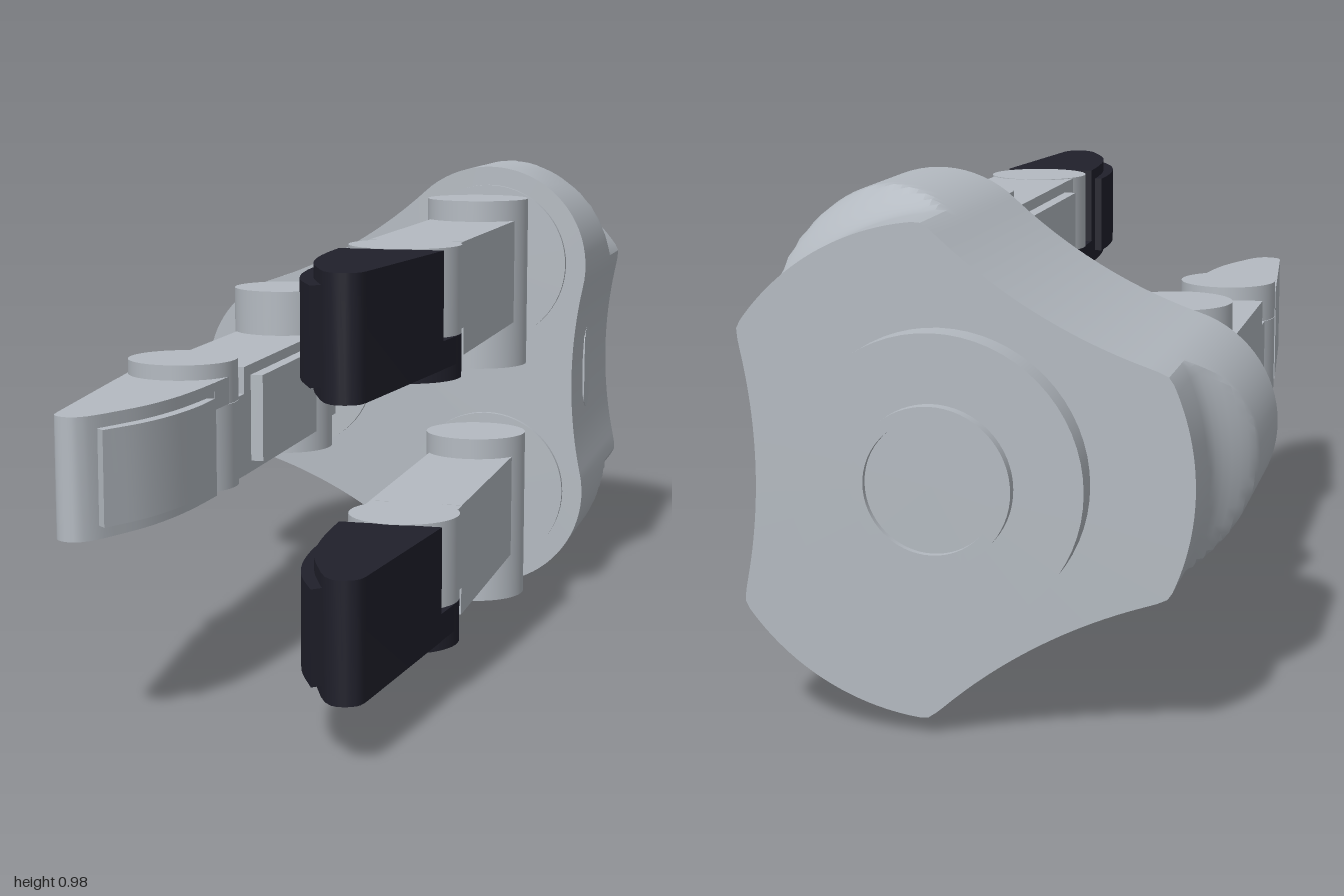
import * as THREE from 'three';
import { toCreasedNormals } from 'three/addons/utils/BufferGeometryUtils.js';

const grey = new THREE.MeshStandardMaterial({ color: 0xb4bac1 });
grey.name = 'light grey metal';
const dark = new THREE.MeshStandardMaterial({ color: 0x20202b });
dark.name = 'dark rubber';

// Centre of the three-lobed palm
const CX = 0.076, CY = 0.49;

function add(parent, name, geometry, material, x = 0, y = 0, z = 0) {
  const mesh = new THREE.Mesh(geometry, material);
  mesh.name = name;
  mesh.position.set(x, y, z);
  parent.add(mesh);
  return mesh;
}

// Box given by its limits
function block(parent, name, material, [x0, x1], [y0, y1], [z0, z1]) {
  return add(parent, name, new THREE.BoxGeometry(x1 - x0, y1 - y0, z1 - z0), material,
    (x0 + x1) / 2, (y0 + y1) / 2, (z0 + z1) / 2);
}

// Upright pin between two heights
function pin(parent, name, material, r, y0, y1, z) {
  return add(parent, name, new THREE.CylinderGeometry(r, r, y1 - y0, 48), material, 0, (y0 + y1) / 2, z);
}

// Disc facing along z
function disc(parent, name, r, x, y, z0, z1) {
  const g = new THREE.CylinderGeometry(r, r, z1 - z0, 64).rotateX(Math.PI / 2);
  return add(parent, name, g, grey, x, y, (z0 + z1) / 2);
}

// Upright prism from an outline of [x, z] points
function prism(parent, name, material, points, y0, y1) {
  const shape = new THREE.Shape(points.map(([x, z]) => new THREE.Vector2(x, -z)));
  const g = new THREE.ExtrudeGeometry(shape, { depth: y1 - y0, bevelEnabled: false }).rotateX(-Math.PI / 2);
  return add(parent, name, toCreasedNormals(g, 0.5), material, 0, y0, 0);
}

function curve(points, n) {
  const spline = new THREE.CatmullRomCurve3(points.map(([x, z]) => new THREE.Vector3(x, 0, z)));
  return spline.getPoints(n).map(p => [p.x, p.z]);
}

// Palm outline: three round lobes joined by shallow concave arcs
function outline(angle) {
  const third = Math.PI * 2 / 3;
  const phi = Math.abs(angle - third * Math.round(angle / third));
  if (phi < 0.5306) {
    return 1.389 * Math.cos(phi) - Math.sqrt(1.04 ** 2 - (1.389 * Math.sin(phi)) ** 2);
  }
  const psi = Math.PI / 3 - phi;
  return 0.304 * Math.cos(psi) + Math.sqrt(0.225 ** 2 - (0.304 * Math.sin(psi)) ** 2);
}

// Palm: the lobes are turned down to a smaller round at the back
function palmGeometry() {
  const rings = [[-0.925, 0.457], [-0.8, 0.457], [-0.775, 0.459], [-0.755, 0.465], [-0.735, 0.475],
    [-0.715, 0.488], [-0.695, 0.502], [-0.675, 0.514], [-0.655, 0.524], [-0.635, 0.531], [-0.38, 0.6]];
  const g = new THREE.CylinderGeometry(1, 1, 1, 180, rings.length - 1).rotateX(Math.PI / 2);
  const p = g.attributes.position;
  for (let i = 0; i < p.count; i++) {
    const x = p.getX(i), y = p.getY(i);
    const [z, limit] = rings[Math.round((p.getZ(i) + 0.5) * (rings.length - 1))];
    const r = Math.min(outline(Math.atan2(y, x)), limit) * Math.min(1, Math.hypot(x, y));
    const a = Math.atan2(y, x);
    p.setXYZ(i, r * Math.cos(a), r * Math.sin(a), z);
  }
  return toCreasedNormals(g, 0.4);
}

// Finger reaching along +z, gripping side at -x
function finger(name, tipMaterial) {
  const f = new THREE.Group();
  f.name = name;

  // Base joint
  disc(f, 'turntable', 0.18, 0, 0, -0.385, -0.368);
  block(f, 'knuckleBracket', grey, [-0.092, 0.092], [-0.135, 0.1], [-0.375, -0.25]);
  pin(f, 'knuckle', grey, 0.112, -0.212, 0.158, -0.25);

  // Lower link with its grip pad and outer joint
  block(f, 'link', grey, [-0.095, 0.095], [-0.112, 0.113], [-0.25, 0.345]);
  block(f, 'linkPad', grey, [-0.121, -0.09], [-0.09, 0.09], [-0.1, 0.3]);
  block(f, 'linkNeck', grey, [-0.095, 0.095], [-0.057, 0.1125], [0.34, 0.445]);
  pin(f, 'fingerJoint', grey, 0.11, -0.057, 0.114, 0.445);

  // Fingertip with the hinge tab under the joint
  pin(f, 'tipHinge', tipMaterial, 0.11, -0.142, -0.058, 0.445);
  prism(f, 'tipHeel', tipMaterial, [[-0.106, 0.47], [0.108, 0.47], [0.098, 0.56], [-0.104, 0.56]], -0.112, -0.058);
  const inner = curve([[-0.104, 0.55], [-0.1, 0.65], [-0.09, 0.75], [-0.068, 0.85], [-0.028, 0.95]], 16);
  const nose = curve([[-0.012, 0.98], [0.008, 0.998], [0.03, 0.998], [0.05, 0.985], [0.057, 0.96]], 10);
  prism(f, 'fingertip', tipMaterial, [...inner, ...nose, [0.1, 0.55]], -0.112, 0.113);
  const padFace = curve([[-0.118, 0.6], [-0.118, 0.69], [-0.105, 0.8], [-0.08, 0.89], [-0.038, 0.978]], 16);
  const padBack = curve([[-0.015, 0.955], [-0.055, 0.85], [-0.08, 0.75], [-0.09, 0.6]], 12);
  prism(f, 'fingertipPad', tipMaterial, [...padFace, ...padBack], -0.088, 0.088);
  return f;
}

export function createModel() {
  const model = new THREE.Group();
  model.name = 'threeFingerGripper';

  add(model, 'palm', palmGeometry(), grey, CX, CY, 0);

  // Mounting flange and raised ring at the back
  disc(model, 'mountingFlange', 0.27, CX, CY, -0.978, -0.91);
  const ring = new THREE.LatheGeometry([[0.122, 0], [0.122, 0.03], [0.145, 0.03], [0.145, 0], [0.122, 0]]
    .map(([r, y]) => new THREE.Vector2(r, y)), 64);
  ring.rotateX(-Math.PI / 2);
  const rim = toCreasedNormals(ring, 0.5);
  add(model, 'mountingRing', rim, grey, CX, CY, -0.97).material.side = THREE.DoubleSide;
  disc(model, 'mountingHub', 0.123, CX, CY, -0.988, -0.97);

  // Oval side plate
  const oval = new THREE.Shape();
  oval.absarc(0, 0.06, 0.036, 0, Math.PI);
  oval.absarc(0, -0.06, 0.036, Math.PI, Math.PI * 2);
  const plate = new THREE.ExtrudeGeometry(oval, { depth: 0.007, bevelEnabled: false }).rotateY(Math.PI / 2);
  add(model, 'sidePlate', plate, grey, 0.423, CY + 0.005, -0.58);

  // Two dark-tipped fingers facing one plain finger
  const upper = finger('upperFinger', dark);
  upper.position.set(0.228, 0.757, 0);
  const lower = finger('lowerFinger', dark);
  lower.position.set(0.228, 0.228, 0);
  const thumb = finger('opposingFinger', grey);
  thumb.position.set(-0.228, 0.491, 0);
  thumb.rotation.z = Math.PI;
  model.add(upper, lower, thumb);
  return model;
}
